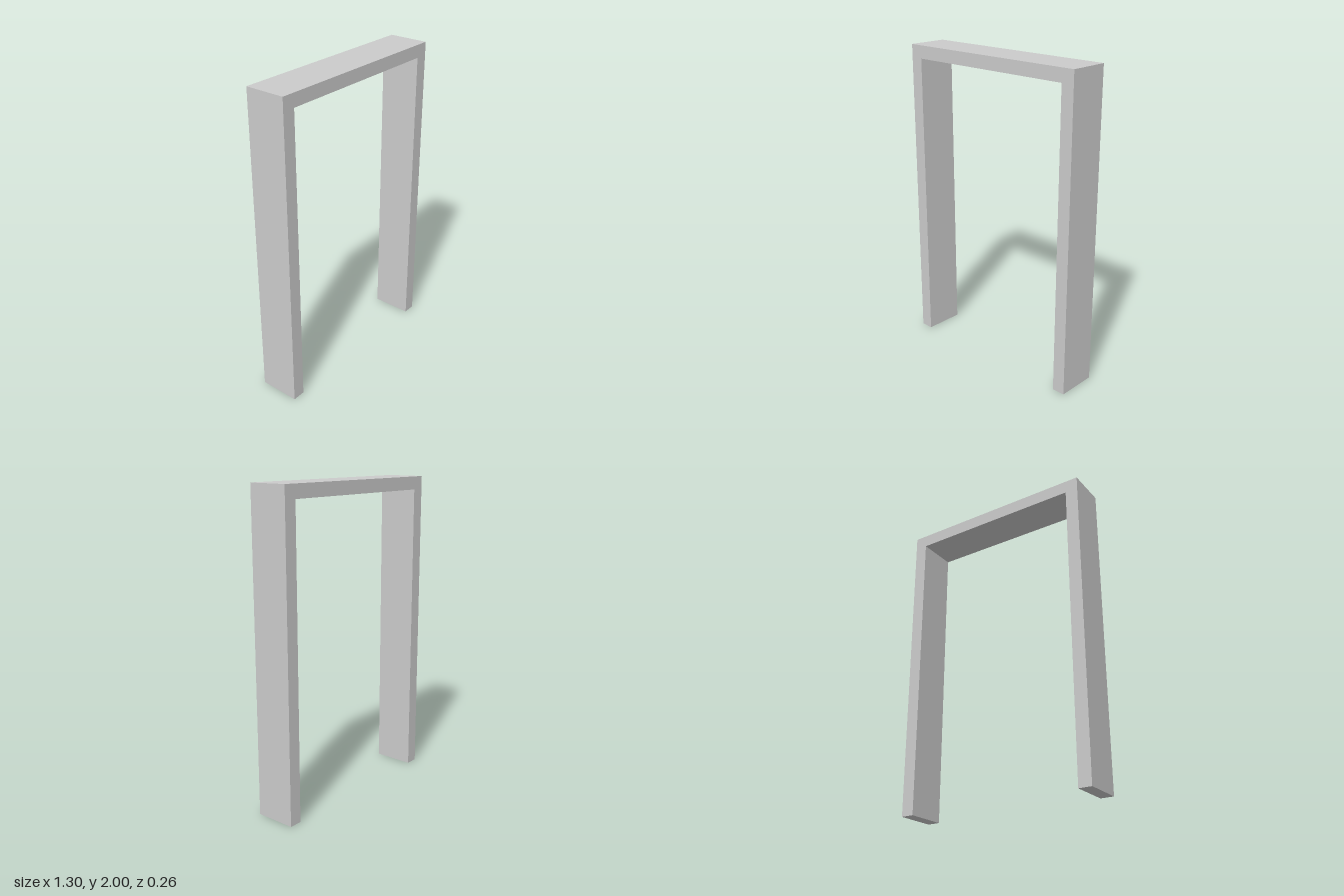
import * as THREE from 'three';

const HALF_WIDTH = 0.65;
const HEIGHT = 2;
const THICKNESS = 0.083; // posts and lintel share one thickness
const DEPTH = 0.26;

export function createModel() {
  const group = new THREE.Group();
  group.name = 'doorFrame';

  // Seamless outline: two posts joined by a lintel, open at the floor
  const inner = HALF_WIDTH - THICKNESS;
  const outline = new THREE.Shape([
    [-HALF_WIDTH, 0], [-inner, 0], [-inner, HEIGHT - THICKNESS], [inner, HEIGHT - THICKNESS],
    [inner, 0], [HALF_WIDTH, 0], [HALF_WIDTH, HEIGHT], [-HALF_WIDTH, HEIGHT],
  ].map(([x, y]) => new THREE.Vector2(x, y)));

  const geometry = new THREE.ExtrudeGeometry(outline, { depth: DEPTH, bevelEnabled: false });
  geometry.translate(0, 0, -DEPTH / 2);

  const frame = new THREE.Mesh(geometry, new THREE.MeshStandardMaterial({ color: 0xcccccc }));
  frame.name = 'postsAndLintel';
  group.add(frame);
  return group;
}
